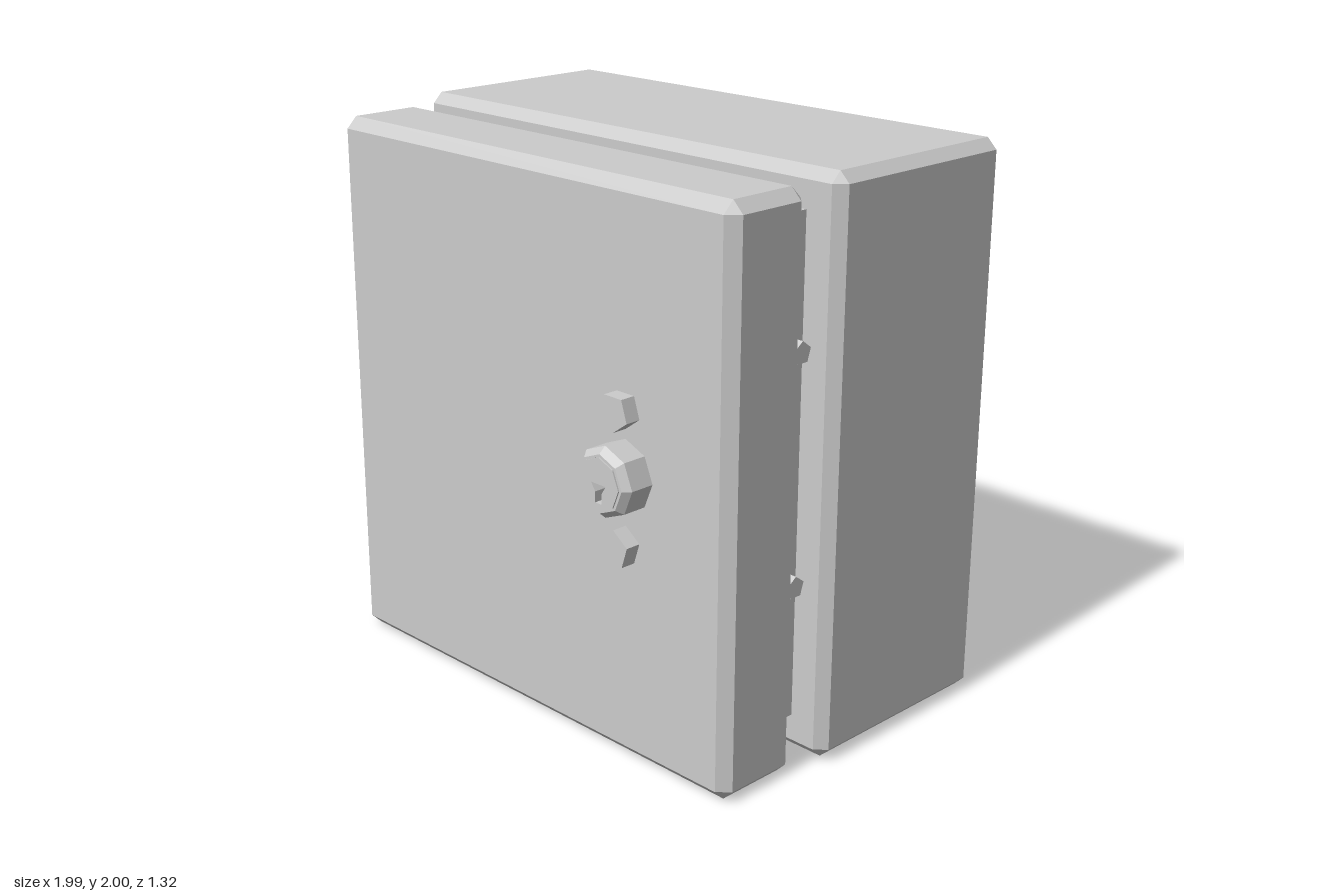
import * as THREE from 'three';
import { ConvexGeometry } from 'three/addons/geometries/ConvexGeometry.js';

const material = new THREE.MeshStandardMaterial({ color: 0xcccccc, flatShading: true });

function part(name, geometry, x = 0, y = 0, z = 0) {
  const mesh = new THREE.Mesh(geometry, material);
  mesh.name = name;
  mesh.position.set(x, y, z);
  return mesh;
}

// Box with chamfered edges; the back can be left as a plain cut
function chamferBox(w, h, d, c, squareBack = false) {
  const points = [];
  for (const sx of [-1, 1]) for (const sy of [-1, 1]) for (const sz of [-1, 1]) {
    const x = w / 2, y = h / 2, z = d / 2;
    const add = (a, b, e) => points.push(new THREE.Vector3(sx * a, sy * b, sz * e));
    const side = squareBack && sz < 0 ? z : z - c;
    add(x, y - c, side);
    add(x - c, y, side);
    if (side !== z) add(x - c, y - c, z);
  }
  return new ConvexGeometry(points);
}

// Regular polygon outline, first corner at the given angle
function polygon(radius, sides, start = 0, Type = THREE.Shape) {
  return new Type(Array.from({ length: sides }, (_, i) => {
    const a = start + i * 2 * Math.PI / sides;
    return new THREE.Vector2(radius * Math.cos(a), radius * Math.sin(a));
  }));
}

const extrude = (shape, depth) => new THREE.ExtrudeGeometry(shape, { depth, bevelEnabled: false });

function createLock() {
  const lock = new THREE.Group();
  lock.name = 'lock';
  // Octagonal barrel with a chamfered, open front
  const profile = [[0.122, 0], [0.122, 0.09], [0.1, 0.115], [0.09, 0.115]]
    .map(([r, h]) => new THREE.Vector2(r, h));
  const barrel = new THREE.LatheGeometry(profile, 8);
  barrel.rotateX(Math.PI / 2);
  lock.add(part('lockBarrel', barrel));

  // Front disc pierced by the keyhole, with a floor behind it
  const disc = polygon(0.09, 8);
  const half = [[0.015, -0.065], [0.015, -0.028], [0.033, 0], [0.015, 0.028], [0.015, 0.085]];
  const outline = [...half, ...half.slice().reverse().map(([x, y]) => [-x, y])];
  disc.holes.push(new THREE.Path(outline.map(([x, y]) => new THREE.Vector2(x, y))));
  lock.add(part('lockFace', extrude(disc, 0.045), 0, 0, 0.075));
  lock.add(part('keyholeFloor', extrude(polygon(0.09, 8), 0.02), 0, 0, 0.055));
  lock.position.set(0.5, 1.015, 0.54);
  return lock;
}

export function createModel() {
  const model = new THREE.Group();
  model.name = 'wallCabinet';

  // Cabinet body, neck and door
  model.add(part('cabinetBody', chamferBox(1.99, 1.99, 0.78, 0.037, true), 0, 1.005, -0.27));
  model.add(part('neck', new THREE.BoxGeometry(1.72, 1.73, 0.13), 0, 1.005, 0.165));
  model.add(part('door', chamferBox(1.906, 1.97, 0.333, 0.04), -0.003, 0.985, 0.375));

  // Hinge pins on both sides of the neck
  for (const side of [-1, 1]) for (const y of [0.635, 1.43]) {
    const pin = extrude(polygon(0.04, 5, Math.PI / 2), 0.085);
    pin.translate(0, 0, -0.0425).rotateY(Math.PI / 2);
    model.add(part('hingePin', pin, side * 0.8625, y, 0.17));
  }

  // Lock with a pentagonal stud above and below, each pointing at it
  model.add(createLock());
  model.add(part('upperStud', extrude(polygon(0.066, 5, -Math.PI / 2), 0.07), 0.5, 1.236, 0.527));
  model.add(part('lowerStud', extrude(polygon(0.066, 5, Math.PI / 2), 0.07), 0.5, 0.774, 0.527));
  return model;
}
